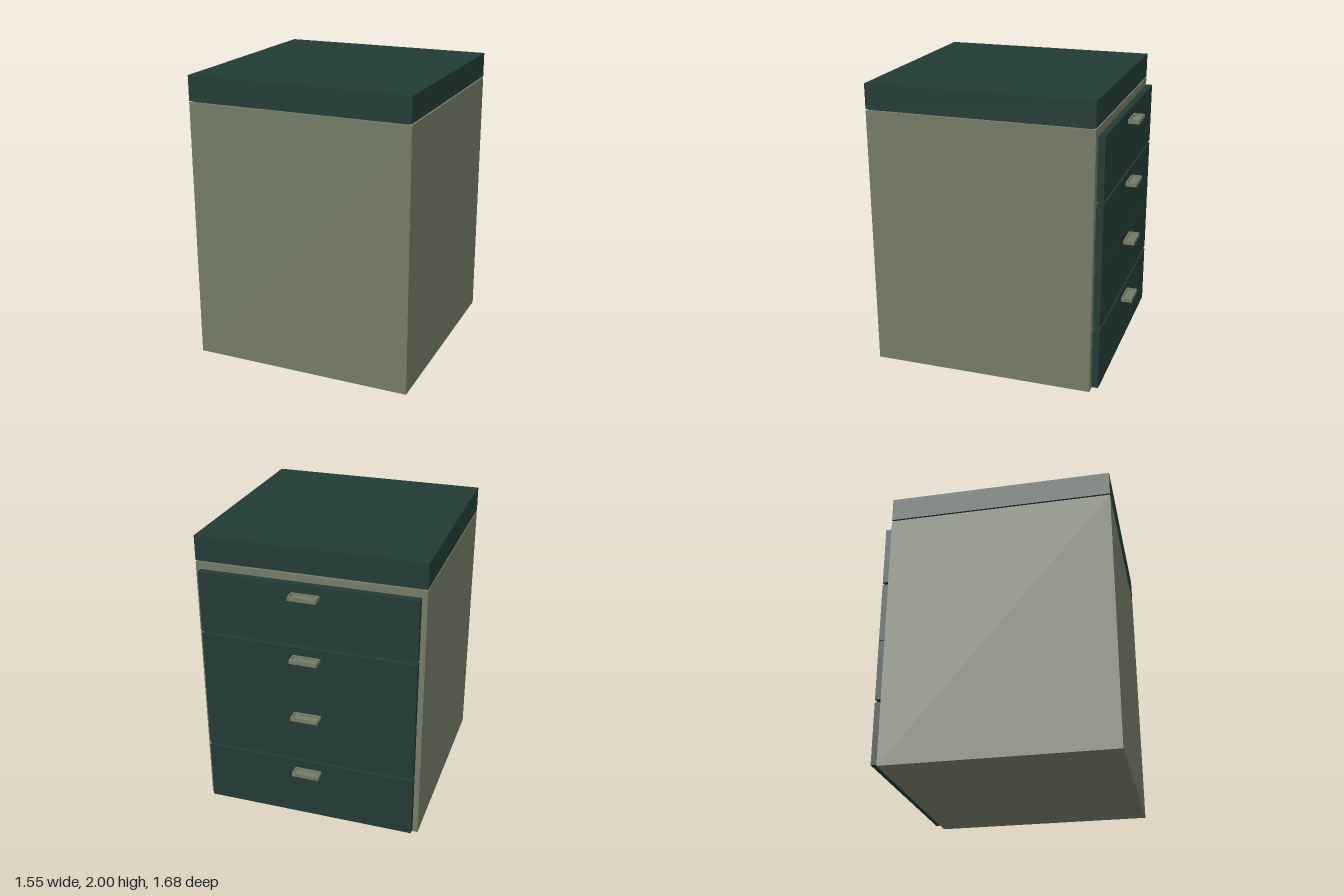
import * as THREE from 'three';

const olive = new THREE.MeshStandardMaterial({ color: 0x747b65 });
olive.name = 'olive';
const green = new THREE.MeshStandardMaterial({ color: 0x223b35 });
green.name = 'darkGreen';

// Box given by its minimum and maximum corners
function box(name, material, [x0, y0, z0], [x1, y1, z1]) {
  const mesh = new THREE.Mesh(new THREE.BoxGeometry(x1 - x0, y1 - y0, z1 - z0), material);
  mesh.position.set((x0 + x1) / 2, (y0 + y1) / 2, (z0 + z1) / 2);
  mesh.name = name;
  return mesh;
}

// Shallow tray-shaped pull: a rectangular rim around a lowered floor
function createHandle(y) {
  const handle = new THREE.Group();
  handle.name = 'handle';
  const h = 0.027, w = 0.095, zIn = -0.762, zOut = -0.84, t = 0.012;
  handle.add(
    box('handleFloor', olive, [-w + t, y, zOut + t], [w - t, y + 0.014, zIn - t]),
    box('handleFrontRim', olive, [-w, y, zOut], [w, y + h, zOut + t]),
    box('handleBackRim', olive, [-w, y, zIn - t], [w, y + h, zIn])
  );
  for (const s of [-1, 1]) {
    const xs = [s * w, s * (w - t)].sort((a, b) => a - b);
    handle.add(box('handleSideRim', olive, [xs[0], y, zOut + t], [xs[1], y + h, zIn - t]));
  }
  return handle;
}

export function createModel() {
  const cabinet = new THREE.Group();
  cabinet.name = 'drawerCabinet';

  // Carcass, with a worktop raised on a slightly inset neck
  cabinet.add(
    box('carcass', olive, [-0.775, 0, -0.71], [0.775, 1.82, 0.84]),
    box('worktopNeck', green, [-0.755, 1.82, -0.69], [0.755, 1.83, 0.82]),
    box('worktop', green, [-0.775, 1.83, -0.71], [0.775, 2, 0.84])
  );

  // Four drawers on the back face: bottom, top and handle heights
  const drawers = [
    [0.02, 0.448, 0.366],
    [0.47, 0.897, 0.812],
    [0.902, 1.327, 1.244],
    [1.347, 1.775, 1.69],
  ];
  for (const [y0, y1, handleY] of drawers) {
    const drawer = new THREE.Group();
    drawer.name = 'drawer';
    drawer.add(
      box('drawerNeck', green, [-0.72, y0 + 0.028, -0.717], [0.72, y1 - 0.028, -0.71]),
      box('drawerFront', green, [-0.74, y0, -0.762], [0.74, y1, -0.717]),
      createHandle(handleY)
    );
    cabinet.add(drawer);
  }
  return cabinet;
}
